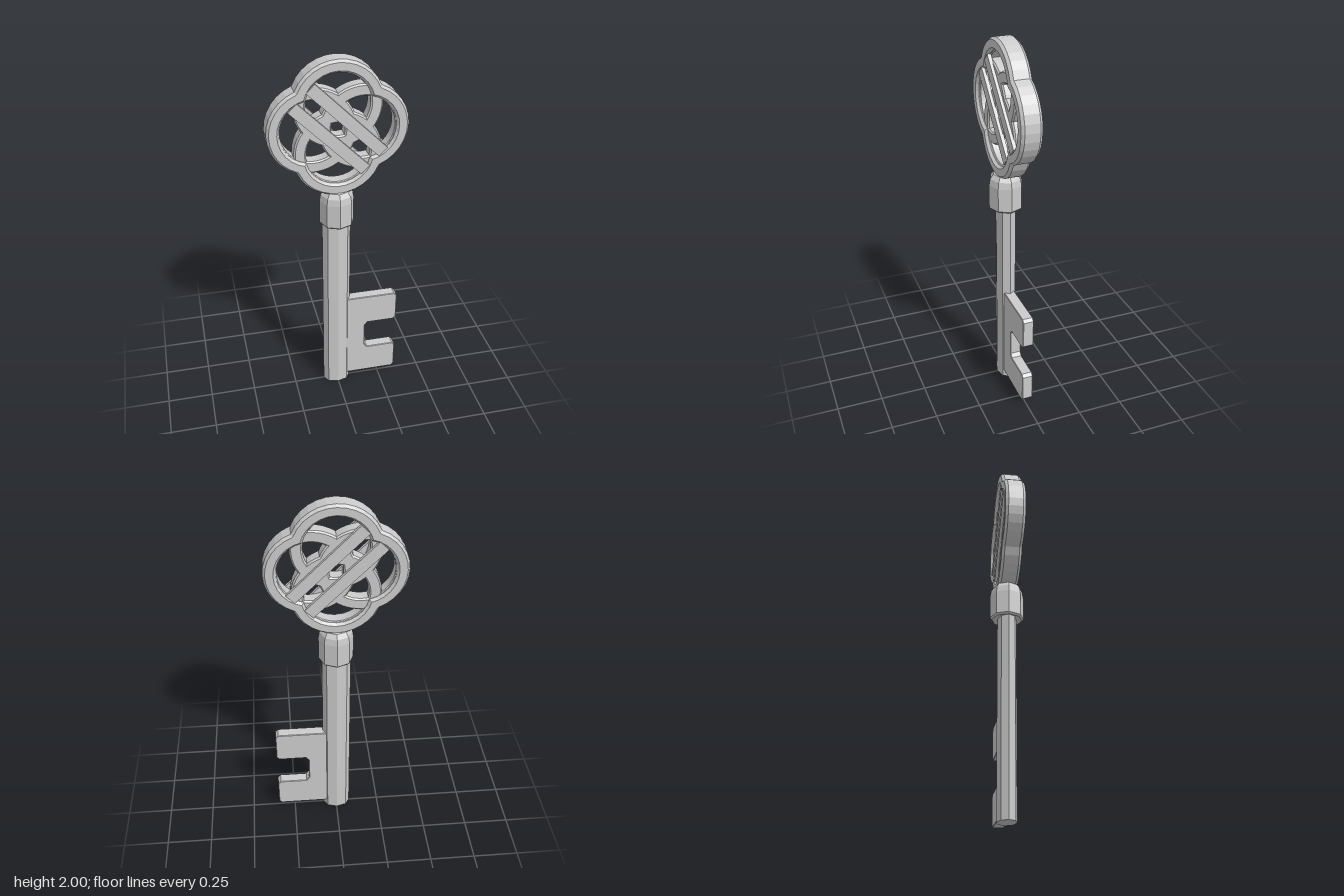
import * as THREE from 'three';

const material = new THREE.MeshStandardMaterial({ color: 0xcccccc, flatShading: true });
const HEAD_Y = 1.64, LOBE_OFFSET = 0.128;

function add(parent, name, geometry, x = 0, y = 0, z = 0) {
  const mesh = new THREE.Mesh(geometry, material);
  mesh.name = name;
  mesh.position.set(x, y, z);
  parent.add(mesh);
  return mesh;
}

// Extrude a shape centred on z = 0, with an inward chamfer.
function slab(shape, halfDepth, bevel, bevelDepth = bevel) {
  const geometry = new THREE.ExtrudeGeometry(shape, {
    depth: 2 * (halfDepth - bevelDepth), bevelEnabled: bevel > 0, bevelSize: bevel,
    bevelOffset: -bevel, bevelThickness: bevelDepth, bevelSegments: 1, curveSegments: 28,
  });
  return geometry.translate(0, 0, -(halfDepth - bevelDepth));
}

// Outline of four joined circles, walked lobe by lobe from cusp to cusp.
function quatrefoil(radius, steps) {
  const d = LOBE_OFFSET;
  const cusp = (d + Math.sqrt(2 * radius * radius - d * d)) / 2;
  const half = Math.atan2(cusp, cusp - d);
  const points = [];
  for (let lobe = 0; lobe < 4; lobe++) {
    const dir = lobe * Math.PI / 2;
    for (let i = 0; i < steps; i++) {
      const a = dir - half + 2 * half * i / steps;
      points.push(new THREE.Vector2(
        d * Math.cos(dir) + radius * Math.cos(a),
        d * Math.sin(dir) + radius * Math.sin(a)));
    }
  }
  return points;
}

export function createModel() {
  const key = new THREE.Group();
  key.name = 'key';

  // Pierced head
  const head = new THREE.Group();
  head.name = 'head';
  head.position.y = HEAD_Y;
  key.add(head);

  const frame = new THREE.Shape(quatrefoil(0.232, 12));
  frame.holes.push(new THREE.Path(quatrefoil(0.168, 12).reverse()));
  add(head, 'headFrame', slab(frame, 0.055, 0.012, 0.015));

  // Four overlapping rings, set back from the faces
  const ring = new THREE.Shape().absarc(0, 0, 0.226, 0, Math.PI * 2, false);
  ring.holes.push(new THREE.Path().absarc(0, 0, 0.163, 0, Math.PI * 2, true));
  const ringGeometry = slab(ring, 0.038, 0.008);
  for (let i = 0; i < 4; i++) {
    const a = i * Math.PI / 2;
    add(head, 'innerRing', ringGeometry, LOBE_OFFSET * Math.cos(a), LOBE_OFFSET * Math.sin(a));
  }

  // Pairs of diagonal bars on the front and back faces
  const barGeometry = new THREE.BoxGeometry(0.52, 0.062, 0.02);
  for (const face of [-1, 1]) {
    for (const side of [-1, 1]) {
      const shift = side * 0.064 * Math.SQRT1_2;
      const bar = add(head, 'diagonalBar', barGeometry, shift, shift, face * 0.044);
      bar.rotation.z = -Math.PI / 4;
    }
  }

  // Eight-sided collar
  const collarProfile = [[0, 1.09], [0.083, 1.09], [0.092, 1.10], [0.092, 1.23],
    [0.086, 1.265], [0.068, 1.29], [0, 1.312]].map(([r, y]) => new THREE.Vector2(r, y));
  add(key, 'collar', new THREE.LatheGeometry(collarProfile, 8));

  // Flattened eight-sided shaft
  const shaft = add(key, 'shaft', new THREE.CylinderGeometry(1, 1, 1.1, 8), -0.002, 0.55, 0);
  shaft.scale.set(0.077, 1, 0.052);

  // Notched bit with clipped corners
  const c = 0.016;
  const bit = new THREE.Shape([
    [0.02, 0.04], [0.345 - c, 0.04], [0.345, 0.04 + c], [0.345, 0.218 - c], [0.345 - c, 0.218],
    [0.16 + c, 0.218], [0.16, 0.218 + c * 1.3], [0.16, 0.4 - c * 1.3], [0.16 + c, 0.4],
    [0.345 - c, 0.4], [0.345, 0.4 + c], [0.345, 0.583 - c], [0.345 - c, 0.583], [0.02, 0.583],
  ].map(([x, y]) => new THREE.Vector2(x, y)));
  add(key, 'bit', slab(bit, 0.03, 0.003));

  return key;
}
